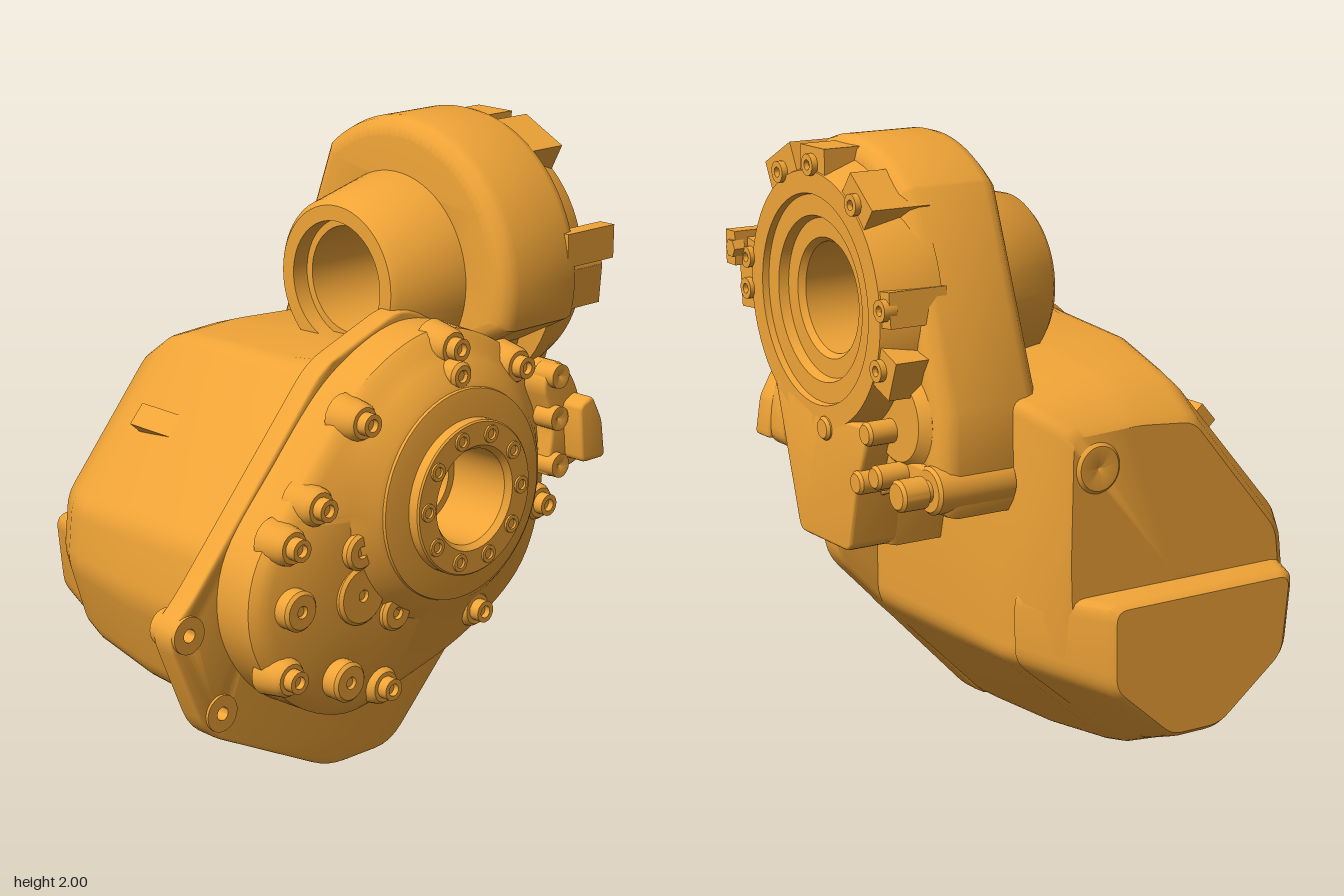
import * as THREE from 'three';
import { toCreasedNormals } from 'three/addons/utils/BufferGeometryUtils.js';

const material = new THREE.MeshStandardMaterial({ color: 0xf0a437 });

export function createModel() {
  const model = new THREE.Group();

  const add = (name, geometry) => {
    const mesh = new THREE.Mesh(toCreasedNormals(geometry, 0.6), material);
    mesh.name = name;
    model.add(mesh);
  };

  // Polygon with every corner replaced by a short curve
  const roundPoly = (pts, r, n = 4) => pts.flatMap((p, i) => {
    const c = new THREE.Vector2(...p);
    const near = (q) => {
      const d = new THREE.Vector2(...q).sub(c);
      return c.clone().addScaledVector(d, Math.min(r / d.length(), 0.45));
    };
    const a = near(pts[(i + pts.length - 1) % pts.length]);
    const b = near(pts[(i + 1) % pts.length]);
    return new THREE.QuadraticBezierCurve(a, c, b).getPoints(n);
  });

  // Skin over counter-clockwise sections [x, y, z], listed front to back
  const loft = (sections, capFront, capBack) => {
    const n = sections[0].length, pos = sections.flat(2), index = [];
    for (let s = 0; s < sections.length - 1; s++)
      for (let i = 0; i < n; i++) {
        const j = (i + 1) % n, a = s * n, b = a + n;
        index.push(a + i, b + i, a + j, a + j, b + i, b + j);
      }
    const cap = (s, front) => {
      const c = pos.length / 3, sec = sections[s];
      pos.push(...[0, 1, 2].map(k => sec.reduce((t, p) => t + p[k], 0) / n));
      for (let i = 0; i < n; i++) {
        const a = s * n + i, b = s * n + (i + 1) % n;
        index.push(c, front ? a : b, front ? b : a);
      }
    };
    if (capFront) cap(0, true);
    if (capBack) cap(sections.length - 1, false);
    const g = new THREE.BufferGeometry();
    g.setAttribute('position', new THREE.Float32BufferAttribute(pos, 3));
    g.setIndex(index);
    return g;
  };
  const section = (z, r, pts) => roundPoly(pts, r).map(p => [p.x, p.y, z]);
  const mix = (a, b, t) => a.map((p, i) => p.map((v, k) => v + (b[i][k] - v) * t));
  const shrink = (pts, [cx, cy], s) => pts.map(([x, y]) => [cx + (x - cx) * s, cy + (y - cy) * s]);

  // Extrusion along z, or along x with shape coordinates (-z, y)
  const extrudeZ = (shape, z0, z1, bevel = 0.01) => new THREE.ExtrudeGeometry(shape, {
    depth: z1 - z0 - 2 * bevel, bevelThickness: bevel, bevelSize: bevel, bevelOffset: -bevel,
    bevelSegments: 3, curveSegments: 32,
  }).translate(0, 0, z0 + bevel);
  const extrudeX = (...args) => extrudeZ(...args).rotateY(Math.PI / 2);
  const lathe = (pts, seg) => new THREE.LatheGeometry(pts.map(p => new THREE.Vector2(...p)), seg);
  const latheX = (pts, seg = 64) => lathe(pts, seg).rotateZ(-Math.PI / 2);
  const latheZ = (pts, seg = 64) => lathe(pts, seg).rotateX(Math.PI / 2);

  // Main housing, narrowing towards the back; its top dips below the input bore
  const front = [[0.06, 0.005], [0.48, 0.425], [0.48, 0.76], [0.47, 1.3], [0.1, 1.46],
    [-0.24, 1.33], [-0.66, 0.82], [-0.69, 0.58], [-0.59, 0.28], [-0.2, 0.005]];
  const middle = [[0.06, 0.06], [0.47, 0.425], [0.47, 0.8], [0.47, 1.26], [0.1, 1.28],
    [-0.13, 1.27], [-0.57, 0.76], [-0.59, 0.56], [-0.51, 0.3], [-0.18, 0.06]];
  const back = [[0.05, 0.12], [0.36, 0.42], [0.37, 0.75], [0.36, 1.17], [0.1, 1.18],
    [-0.12, 1.16], [-0.47, 0.74], [-0.49, 0.55], [-0.42, 0.35], [-0.15, 0.13]];
  const dipped = front.map(([x, y]) => [x, Math.min(y, 1.325)]);
  add('mainHousing', loft([
    section(0.39, 0.05, front),
    section(0.2, 0.05, mix(dipped, middle, 0.06)),
    section(-0.1, 0.05, mix(dipped, middle, 0.3)),
    section(-0.4, 0.04, middle),
    section(-0.49, 0.04, mix(middle, back, 0.3)),
    section(-0.6, 0.04, back),
    section(-0.62, 0.04, shrink(back, [0, 0.7], 0.94)),
  ], true, true));

  // Lower bulge of the back, with a step above it
  const sump = [[0.05, 0.16], [0.28, 0.36], [0.28, 0.63], [-0.44, 0.63], [-0.41, 0.36], [-0.15, 0.16]];
  add('rearSump', loft([
    section(-0.47, 0.05, [[0.05, 0.075], [0.455, 0.42], [0.455, 0.65], [-0.53, 0.65], [-0.47, 0.31], [-0.17, 0.075]]),
    section(-0.71, 0.05, sump),
    section(-0.73, 0.04, shrink(sump, [-0.08, 0.4], 0.93)),
  ], false, true));

  // Mounting flange with two drilled ears
  const ears = [[-0.8, 0.61], [-0.67, 0.32]];
  const circle = (x, y, r) => new THREE.Path().absarc(x, y, r, 0, Math.PI * 2, true);
  const flange = new THREE.Shape(roundPoly([[0.07, 0], [0.635, 0.59], [0.635, 0.76], [0.47, 1.31],
    [0.1, 1.47], [-0.24, 1.34], [-0.79, 0.7], [-0.88, 0.62], [-0.73, 0.26], [-0.21, 0]], 0.07));
  flange.holes = ears.map(([x, y]) => circle(x, y, 0.022));
  add('mountingFlange', extrudeZ(flange, 0.31, 0.395));
  for (const [x, y] of ears) {
    add('earBoss', latheZ([[0.022, 0.29], [0.06, 0.29], [0.06, 0.405], [0.022, 0.405], [0.022, 0.29]], 24)
      .translate(x, y, 0));
  }

  // Front cover, blending from its outline into the round hub
  const hub = [0.1, 0.92];
  const rim = new THREE.CatmullRomCurve3([[-0.28, 0.24], [0, 0.29], [0.28, 0.38], [0.52, 0.54], [0.61, 0.75],
    [0.6, 1.08], [0.42, 1.32], [0.1, 1.43], [-0.2, 1.32], [-0.46, 1.06], [-0.66, 0.8], [-0.67, 0.58],
    [-0.53, 0.36]].map(p => new THREE.Vector3(...p, 0)), true).getSpacedPoints(96).slice(0, -1);
  const scaled = (s, z) => shrink(rim.map(p => [p.x, p.y]), [-0.02, 0.85], s).map(p => [...p, z]);
  const round = (r, z) => rim.map(p => {
    const a = Math.atan2(p.y - hub[1], p.x - hub[0]);
    return [hub[0] + r * Math.cos(a), hub[1] + r * Math.sin(a), z];
  });
  add('frontCover', loft([round(0.33, 0.665), round(0.36, 0.655), round(0.42, 0.6),
    scaled(0.9, 0.57), scaled(0.96, 0.55), scaled(0.99, 0.53), scaled(1, 0.38)], false, false));

  // Output hub with a ring of bolts
  add('outputHub', latheZ([[0.36, 0.6], [0.34, 0.67], [0.31, 0.675], [0.25, 0.68], [0.25, 0.715], [0.245, 0.72],
    [0.17, 0.72], [0.155, 0.7], [0.155, 0.48], [0.13, 0.48], [0.13, 0.45], [0, 0.45]]).translate(...hub, 0));
  for (let i = 0; i < 10; i++) {
    const a = i * Math.PI / 5;
    add('hubBolt', latheZ([[0.029, 0.715], [0.029, 0.727], [0.017, 0.727], [0.015, 0.718], [0, 0.718]], 16)
      .translate(hub[0] + 0.207 * Math.cos(a), hub[1] + 0.207 * Math.sin(a), 0));
  }

  // Cover bolts: boss, washer and socket head
  for (const [x, y] of [[-0.44, 0.98], [-0.55, 0.88], [-0.26, 1.21], [0.12, 1.375], [0.42, 1.26],
    [-0.56, 0.46], [-0.16, 0.325], [0.25, 0.48], [0.54, 0.775]]) {
    add('coverBolt', latheZ([[0.075, 0.5], [0.06, 0.585], [0.05, 0.6], [0.036, 0.6], [0.036, 0.635],
      [0.02, 0.635], [0.02, 0.615], [0, 0.615]], 20).translate(x, y, 0));
  }
  // Plugs and raised pads on the cover
  for (const [x, y, r, z] of [[-0.54, 0.68, 0.065, 0.625], [-0.345, 0.4, 0.065, 0.635], [-0.27, 0.66, 0.097, 0.61],
    [-0.29, 0.81, 0.06, 0.625], [0.1, 1.3, 0.045, 0.66], [-0.13, 0.57, 0.06, 0.62]]) {
    add('coverPlug', latheZ([[r, 0.5], [r, z - 0.01], [r - 0.01, z], [0.02, z], [0.015, z - 0.01], [0, z - 0.01]], 28)
      .translate(x, y, 0));
  }

  // Sensor bracket beside the hub
  add('sensorBracket', extrudeZ(new THREE.Shape(roundPoly([[0.5, 0.87], [0.69, 0.92], [0.68, 1.06], [0.62, 1.2],
    [0.54, 1.28], [0.47, 1.2], [0.53, 1.06]], 0.05)), 0.56, 0.655));
  add('sensorBody', extrudeZ(new THREE.Shape(roundPoly([[0.59, 0.93], [0.7, 0.93], [0.68, 1.06], [0.63, 1.15],
    [0.57, 1.12]], 0.02)), 0.64, 0.73));
  for (const [x, y] of [[0.53, 1.22], [0.54, 0.92], [0.53, 1.08]])
    add('bracketBolt', latheZ([[0.04, 0.6], [0.04, 0.68], [0.015, 0.68], [0, 0.67]], 20).translate(x, y, 0));

  // Upper gear case: round top, straight rear edge, stepped bottom
  const arc = new THREE.Shape().absarc(-0.11, 1.5, 0.5, 0.84, Math.PI * 1.08, false).getPoints(48);
  const caseShape = new THREE.Shape([...arc, ...[[-0.42, 1.28], [-0.24, 0.73], [0.08, 0.73], [0.12, 0.9],
    [0.44, 0.9], [0.46, 0.94], [0.455, 1.24]].map(p => new THREE.Vector2(...p))]);
  caseShape.holes.push(circle(-0.11, 1.5, 0.22));
  add('gearCase', extrudeX(caseShape, 0.34, 0.7, 0.06));

  // Input neck, bore and machined face
  add('inputBore', latheX([[0.2, 0.14], [0.2, 0.08], [0.25, 0.08], [0.27, 0.1], [0.33, 0.36], [0.33, 0.6],
    [0.45, 0.62], [0.44, 0.7], [0.4, 0.81], [0.33, 0.81], [0.325, 0.79], [0.26, 0.79], [0.25, 0.76], [0.19, 0.76],
    [0.175, 0.74], [0.175, 0.14], [0.2, 0.14]]).translate(0, 1.5, 0.11));

  // Lower leg of the case
  add('caseLeg', extrudeX(new THREE.Shape(roundPoly([[-0.39, 1.25], [-0.23, 0.735], [0.08, 0.735], [0.13, 0.95],
    [0.22, 1.16], [-0.11, 1.14], [-0.33, 1.2]], 0.03)), 0.58, 0.81));

  // Buttresses around the face (angle, width, outer radius), each with a bolt
  for (const [deg, wide, reach] of [[117, 0.18, 0.485], [90, 0.15, 0.475], [52, 0.16, 0.475], [5, 0.11, 0.45],
    [-21, 0.13, 0.49], [170, 0.11, 0.485], [184, 0.13, 0.485]]) {
    const a = THREE.MathUtils.degToRad(deg), u = Math.cos(a), v = Math.sin(a), mid = (reach + 0.35) / 2;
    add('buttress', new THREE.BoxGeometry(0.2, reach - 0.35, wide).rotateX(a - Math.PI / 2)
      .translate(0.705, 1.5 + mid * v, 0.11 - mid * u));
    add('faceBolt', latheX([[0.034, 0.78], [0.034, 0.825], [0.016, 0.825], [0.014, 0.81], [0, 0.81]], 18)
      .translate(0, 1.5 + 0.42 * v, 0.11 - 0.42 * u));
  }
  for (const [u, v] of [[-0.05, 1.105], [0.21, 1.14], [0.15, 0.975], [0.26, 1.015]])
    add('legBolt', latheX([[0.038, 0.65], [0.038, 0.815], [0.03, 0.825], [0, 0.825]], 18).translate(0, v, -u));

  // Side tab with its nut
  add('sideTab', new THREE.BoxGeometry(0.22, 0.11, 0.06).translate(0.74, 1.6, 0.575));
  add('tabNut', latheX([[0.03, 0.82], [0.03, 0.86], [0, 0.86]], 6).translate(0, 1.6, 0.56));

  // Round pad, arm and fitting behind the leg
  add('cylinderPad', latheX([[0.17, 0.5], [0.16, 0.7], [0.13, 0.73], [0, 0.73]], 40).translate(0, 1.18, -0.24));
  add('fittingArm', extrudeX(new THREE.Shape(roundPoly([[0.08, 0.9], [0.26, 0.96], [0.4, 0.92], [0.45, 1.0],
    [0.38, 1.06], [0.12, 1.06]], 0.03)), 0.55, 0.72));
  add('fitting', latheX([[0.075, 0.45], [0.075, 0.71], [0.065, 0.72], [0.035, 0.72], [0.035, 0.74], [0.05, 0.74],
    [0.05, 0.82], [0.04, 0.83], [0, 0.83]], 32).translate(0, 0.99, -0.4));

  // Rear plug and the rib on the sloping side
  add('rearPlug', latheZ([[0.08, -0.04], [0.08, 0.01], [0.07, 0.02], [0.015, 0.02], [0, 0.01]], 32)
    .rotateY(Math.PI).translate(0.25, 1.04, -0.61));
  add('sideRib', new THREE.BoxGeometry(0.08, 0.08, 0.34).rotateZ(0.85).translate(-0.37, 1.04, -0.15));

  return model;
}
